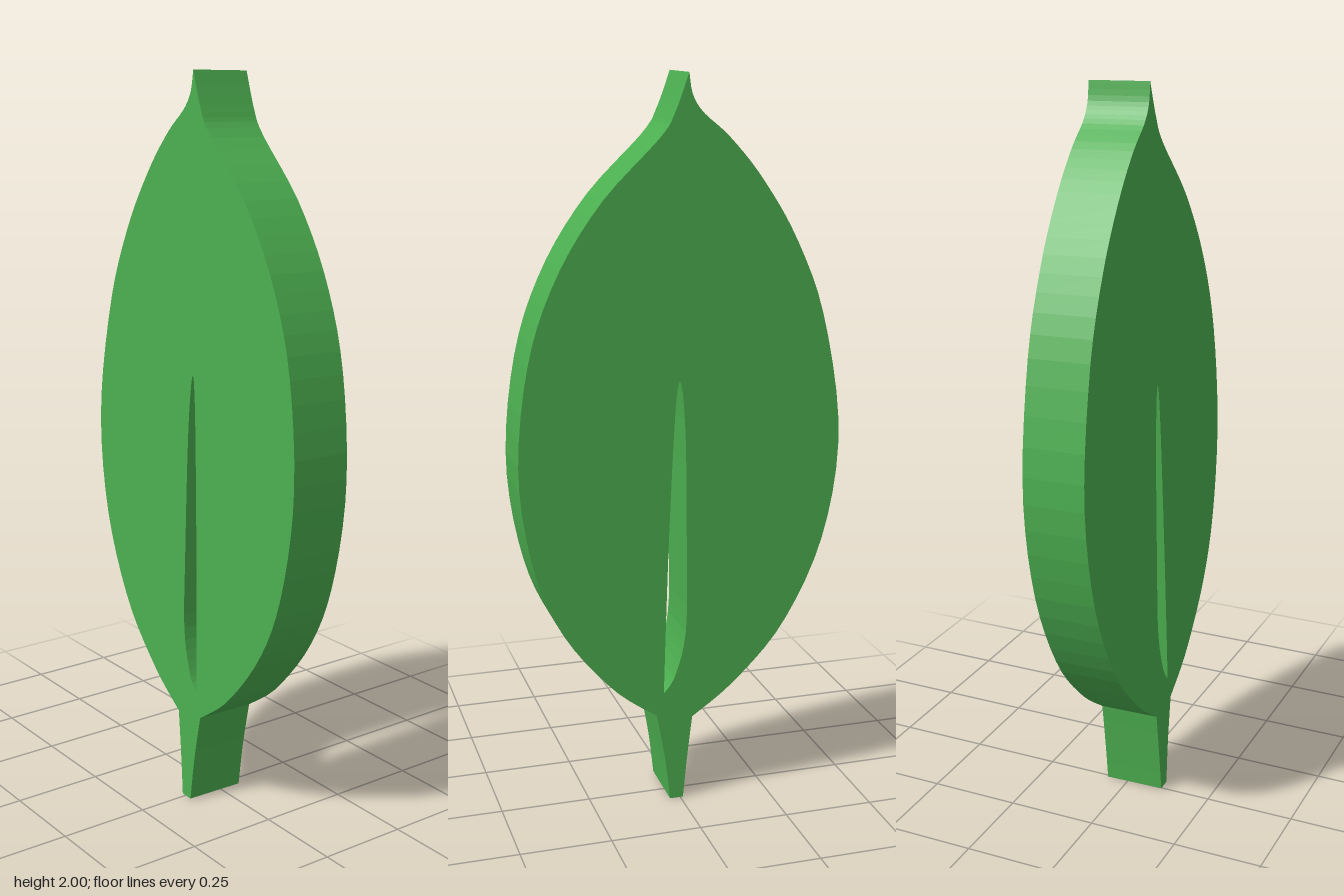
import * as THREE from 'three';

const pts = (list) => list.map(([x, y]) => new THREE.Vector2(x, y));

export function createModel() {
  const group = new THREE.Group();
  group.name = 'leaf';

  // Outline: stem, right edge up to the pointed tip, left edge back down
  const outline = new THREE.Shape();
  outline.moveTo(-0.01, 0);
  outline.lineTo(0.028, 0);
  outline.splineThru(pts([[0.044, 0.13], [0.068, 0.26]]));
  outline.splineThru(pts([
    [0.19, 0.352], [0.325, 0.52], [0.405, 0.71], [0.444, 0.98], [0.415, 1.27],
    [0.34, 1.49], [0.22, 1.68], [0.065, 1.84], [0.025, 1.905], [-0.01, 2],
  ]));
  outline.splineThru(pts([
    [-0.02, 1.945], [-0.05, 1.9], [-0.12, 1.84], [-0.21, 1.735], [-0.31, 1.575],
    [-0.395, 1.36], [-0.448, 1.04], [-0.41, 0.745], [-0.3, 0.5], [-0.16, 0.34], [-0.035, 0.245],
  ]));
  outline.splineThru(pts([[-0.021, 0.12], [-0.01, 0]]));

  // Slot along the midrib, pointed at its lower end
  const slot = new THREE.Path();
  slot.moveTo(0.048, 0.325);
  slot.splineThru(pts([
    [0.015, 0.375], [-0.014, 0.5], [-0.015, 0.7], [-0.009, 1.05],
    [0.006, 1.21], [0.02, 1.13], [0.035, 0.8], [0.044, 0.5],
  ]));
  slot.lineTo(0.048, 0.325);
  outline.holes.push(slot);

  const depth = 0.17;
  const geometry = new THREE.ExtrudeGeometry(outline, { depth, bevelEnabled: false, curveSegments: 4 });
  // Lean the slab slightly backward, then centre it and stand it on the ground
  geometry.translate(0, -1, -depth / 2);
  geometry.rotateX(-0.0225);
  geometry.computeBoundingBox();
  const { min, max } = geometry.boundingBox;
  geometry.translate(-(min.x + max.x) / 2, -min.y, -(min.z + max.z) / 2);

  const blade = new THREE.Mesh(geometry, new THREE.MeshStandardMaterial({ color: 0x4caf50 }));
  blade.name = 'leafBlade';
  group.add(blade);
  return group;
}
